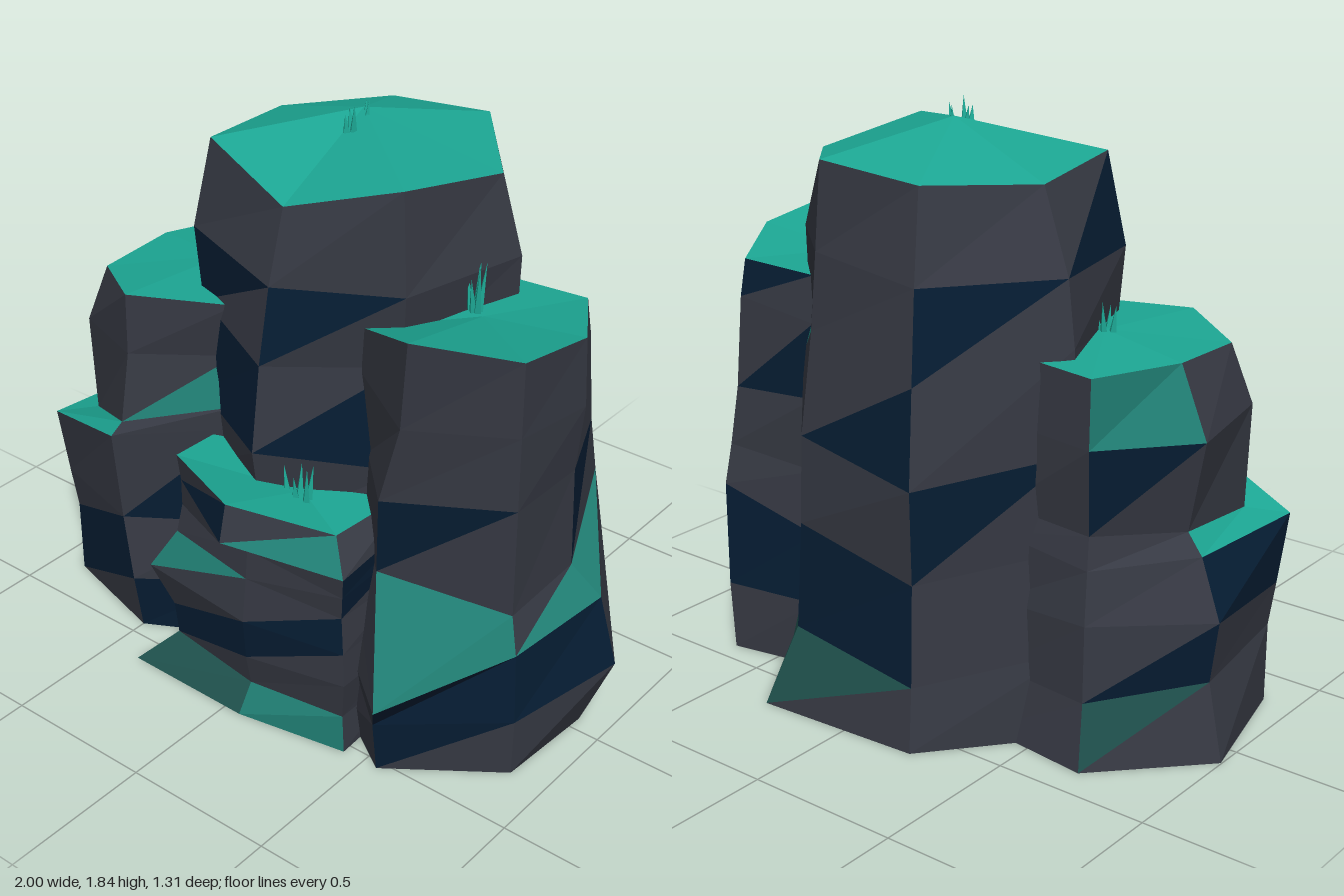
import * as THREE from 'three';

function material(name, color) {
  const m = new THREE.MeshStandardMaterial({ color, flatShading: true });
  m.name = name;
  return m;
}
const rock = material('slate rock', 0x363943);
const dark = material('navy rock', 0x061d33);
const moss = material('teal moss', 0x1ca693);
const dullMoss = material('dull moss', 0x1f7c71);
const greyMoss = material('grey moss', 0x1f514d);
const foot = material('shadowy underside', 0x0a2a26);
const palette = [rock, dark, moss, dullMoss, greyMoss, foot];

const SIDES = 7;

// Ring of a column: heights (seven or one), radii and optional turns, from the front towards +x
const ring = (y, r, turn = []) => ({ y: Array.isArray(y) ? y : Array(SIDES).fill(y), r, turn });

// Paint codes per face: . rock, n/u/l navy (both, upper, lower triangle),
// G/U/L dull moss likewise, D/d grey moss (both, upper), M bright moss
function paint(code, upper) {
  if (code === 'n' || code === (upper ? 'u' : 'l')) return 1;
  if (code === 'M') return 2;
  if (code === 'G' || code === (upper ? 'U' : 'L')) return 3;
  if (code === 'D' || (code === 'd' && upper)) return 4;
  return 0;
}

// Faceted column skinned over its rings, with a mossy cap and a closed foot
function column(name, cx, cz, apex, rings, colours) {
  const parts = palette.map(() => []);
  const tri = (k, ...points) => points.forEach((p) => parts[k].push(...p));
  const loops = rings.map(({ y, r, turn }) => r.map((radius, i) => {
    const a = (i * 2 * Math.PI) / SIDES + (turn[i] ?? 0);
    return [cx + radius * Math.sin(a), y[i], cz + radius * Math.cos(a)];
  }));
  const last = loops[loops.length - 1];
  for (let i = 0; i < SIDES; i++) {
    const j = (i + 1) % SIDES;
    for (let k = 0; k < loops.length - 1; k++) {
      const [a, b, c, d] = [loops[k][i], loops[k][j], loops[k + 1][j], loops[k + 1][i]];
      tri(paint(colours[k][i], false), a, b, c);
      tri(paint(colours[k][i], true), a, c, d);
    }
    tri(2, last[i], last[j], apex);
    tri(5, loops[0][j], loops[0][i], [cx, 0, cz]);
  }
  const geometry = new THREE.BufferGeometry();
  geometry.setAttribute('position', new THREE.Float32BufferAttribute(parts.flat(), 3));
  let start = 0;
  parts.forEach((p, k) => {
    geometry.addGroup(start, p.length / 3, k);
    start += p.length / 3;
  });
  geometry.computeVertexNormals();
  const mesh = new THREE.Mesh(geometry, palette);
  mesh.name = name;
  return mesh;
}

// Small clump of pointed blades, spread over an ellipse
function grass(name, x, y, z, height, spreadX, spreadZ) {
  const clump = new THREE.Group();
  clump.name = name;
  for (let i = 0; i < 5; i++) {
    const a = i * 2.4;
    const h = height * (0.65 + 0.35 * ((i * 3) % 5) / 4);
    const blade = new THREE.Mesh(new THREE.ConeGeometry(0.013, h, 4).translate(0, h / 2, 0), moss);
    blade.name = 'grassBlade';
    blade.position.set(spreadX * Math.sin(a), 0, spreadZ * Math.cos(a));
    blade.rotation.set(0.12 * Math.cos(a), 0, -0.12 * Math.sin(a));
    clump.add(blade);
  }
  clump.position.set(x, y, z);
  return clump;
}

export function createModel() {
  const model = new THREE.Group();
  model.name = 'rockFormation';

  // Tall central column
  model.add(column('centralColumn', 0, -0.1, [0, 1.8, -0.09], [
    ring(0, [0.5, 0.52, 0.58, 0.63, 0.57, 0.58, 0.52], [0, 0, 0.1, -0.06]),
    ring([0.28, 0.28, 0.26, 0.26, 0.2, 0.28, 0.28], [0.52, 0.52, 0.54, 0.53, 0.54, 0.57, 0.52]),
    ring([0.57, 0.57, 0.55, 0.6, 0.52, 0.6, 0.57], [0.5, 0.52, 0.52, 0.51, 0.52, 0.55, 0.5]),
    ring([0.86, 0.84, 1.0, 0.88, 0.82, 0.9, 0.84], [0.54, 0.5, 0.53, 0.5, 0.54, 0.56, 0.52]),
    ring([1.14, 1.18, 1.1, 1.2, 1.12, 1.22, 1.16], [0.5, 0.48, 0.5, 0.46, 0.5, 0.56, 0.5]),
    ring([1.38, 1.42, 1.42, 1.44, 1.4, 1.42, 1.41], [0.45, 0.51, 0.51, 0.44, 0.46, 0.53, 0.52]),
    ring([1.61, 1.73, 1.67, 1.71, 1.68, 1.67, 1.7], [0.38, 0.47, 0.44, 0.42, 0.4, 0.42, 0.46]),
  ], ['..Dd...', '..nn.n.', '..l.uu.', 'l.Ul..n', 'u...u.u', '.....l.']));

  // Left column with a wide mossy ledge part way up
  model.add(column('leftColumn', -0.5, 0.03, [-0.48, 1.21, 0.02], [
    ring(0, [0.42, 0.4, 0.4, 0.42, 0.47, 0.51, 0.5]),
    ring([0.2, 0.22, 0.22, 0.2, 0.2, 0.24, 0.26], [0.45, 0.4, 0.4, 0.38, 0.42, 0.45, 0.5]),
    ring([0.42, 0.45, 0.45, 0.42, 0.44, 0.44, 0.4], [0.44, 0.4, 0.4, 0.38, 0.41, 0.48, 0.52], [-0.1]),
    ring([0.73, 0.8, 0.7, 0.64, 0.6, 0.62, 0.63], [0.46, 0.4, 0.38, 0.38, 0.38, 0.4, 0.55], [-0.12]),
    ring([0.77, 0.88, 0.76, 0.72, 0.7, 0.68, 0.65], [0.42, 0.4, 0.36, 0.36, 0.36, 0.34, 0.41], [-0.1]),
    ring([1.0, 1.02, 1, 0.98, 0.97, 0.97, 0.98], [0.38, 0.33, 0.34, 0.36, 0.39, 0.4, 0.42], [-0.1]),
    ring([1.2, 1.21, 1.2, 1.19, 1.18, 1.18, 1.17], [0.37, 0.36, 0.32, 0.35, 0.38, 0.29, 0.35], [-0.12]),
  ], ['n...d.u', '....l.l', 'l....n.', '.....MM', 'L...u..', '....G..']));

  // Right column, widest near the foot, with slanting mossy ledges
  model.add(column('rightColumn', 0.55, 0.03, [0.5, 1.3, -0.02], [
    ring(0, [0.5, 0.42, 0.36, 0.47, 0.44, 0.4, 0.44], [0, 0, 0, 0.2]),
    ring([0.18, 0.2, 0.25, 0.22, 0.22, 0.22, 0.25], [0.52, 0.43, 0.46, 0.47, 0.44, 0.4, 0.42], [0, 0, 0, 0.15]),
    ring([0.28, 0.43, 0.48, 0.56, 0.45, 0.45, 0.45], [0.58, 0.41, 0.4, 0.46, 0.42, 0.4, 0.38], [0.08, 0, 0, 0.1]),
    ring([0.6, 0.54, 0.57, 0.69, 0.66, 0.65, 0.62], [0.38, 0.36, 0.3, 0.43, 0.4, 0.36, 0.35], [-0.3, 0, 0, 0.08]),
    ring([0.86, 0.9, 0.9, 0.88, 0.9, 0.9, 0.88], [0.39, 0.36, 0.29, 0.4, 0.4, 0.32, 0.34], [-0.25, 0, 0, 0.08]),
    ring([1.12, 1.14, 1.12, 1.18, 1.14, 1.12, 1.15], [0.37, 0.36, 0.31, 0.38, 0.38, 0.31, 0.36], [-0.08, 0, 0, 0.1]),
    ring([1.41, 1.38, 1.34, 1.3, 1.29, 1.3, 1.3], [0.38, 0.36, 0.3, 0.36, 0.36, 0.3, 0.36], [0, 0, 0, 0.1]),
  ], ['u.n....', 'nn.n...', 'GLU....', 'u.u....', '...l...', '..uu...']));

  // Short layered front column with a mossy skirt
  model.add(column('frontColumn', 0.06, 0.24, [0.13, 0.74, 0.36], [
    ring(0, [0.36, 0.47, 0.36, 0.3, 0.3, 0.36, 0.57]),
    ring([0.09, 0.12, 0.12, 0.12, 0.12, 0.12, 0.11], [0.3, 0.45, 0.36, 0.3, 0.3, 0.36, 0.43]),
    ring([0.2, 0.25, 0.24, 0.24, 0.24, 0.24, 0.22], [0.32, 0.47, 0.37, 0.3, 0.3, 0.37, 0.44]),
    ring([0.34, 0.36, 0.36, 0.36, 0.36, 0.36, 0.37], [0.33, 0.46, 0.36, 0.3, 0.3, 0.38, 0.51]),
    ring([0.49, 0.48, 0.48, 0.48, 0.48, 0.48, 0.5], [0.31, 0.44, 0.36, 0.3, 0.3, 0.36, 0.42]),
    ring([0.59, 0.56, 0.58, 0.58, 0.58, 0.58, 0.6], [0.3, 0.45, 0.36, 0.3, 0.3, 0.34, 0.4]),
    ring([0.68, 0.63, 0.66, 0.66, 0.66, 0.66, 0.69], [0.42, 0.46, 0.36, 0.3, 0.3, 0.34, 0.4]),
    ring([0.8, 0.73, 0.75, 0.74, 0.74, 0.76, 0.78], [0.39, 0.37, 0.34, 0.3, 0.3, 0.34, 0.41]),
  ], ['G.....D', '......u', 'u.....l', 'l....GU', '.u.....', '.n....l', 'L.....l']));

  // Grass clumps on every summit
  model.add(
    grass('centralGrass', 0.02, 1.76, -0.03, 0.085, 0.015, 0.045),
    grass('leftGrass', -0.48, 1.2, 0.02, 0.12, 0.025, 0.015),
    grass('rightGrass', 0.47, 1.31, -0.02, 0.17, 0.015, 0.01),
    grass('frontGrass', 0.14, 0.74, 0.39, 0.125, 0.045, 0.015),
  );
  return model;
}
